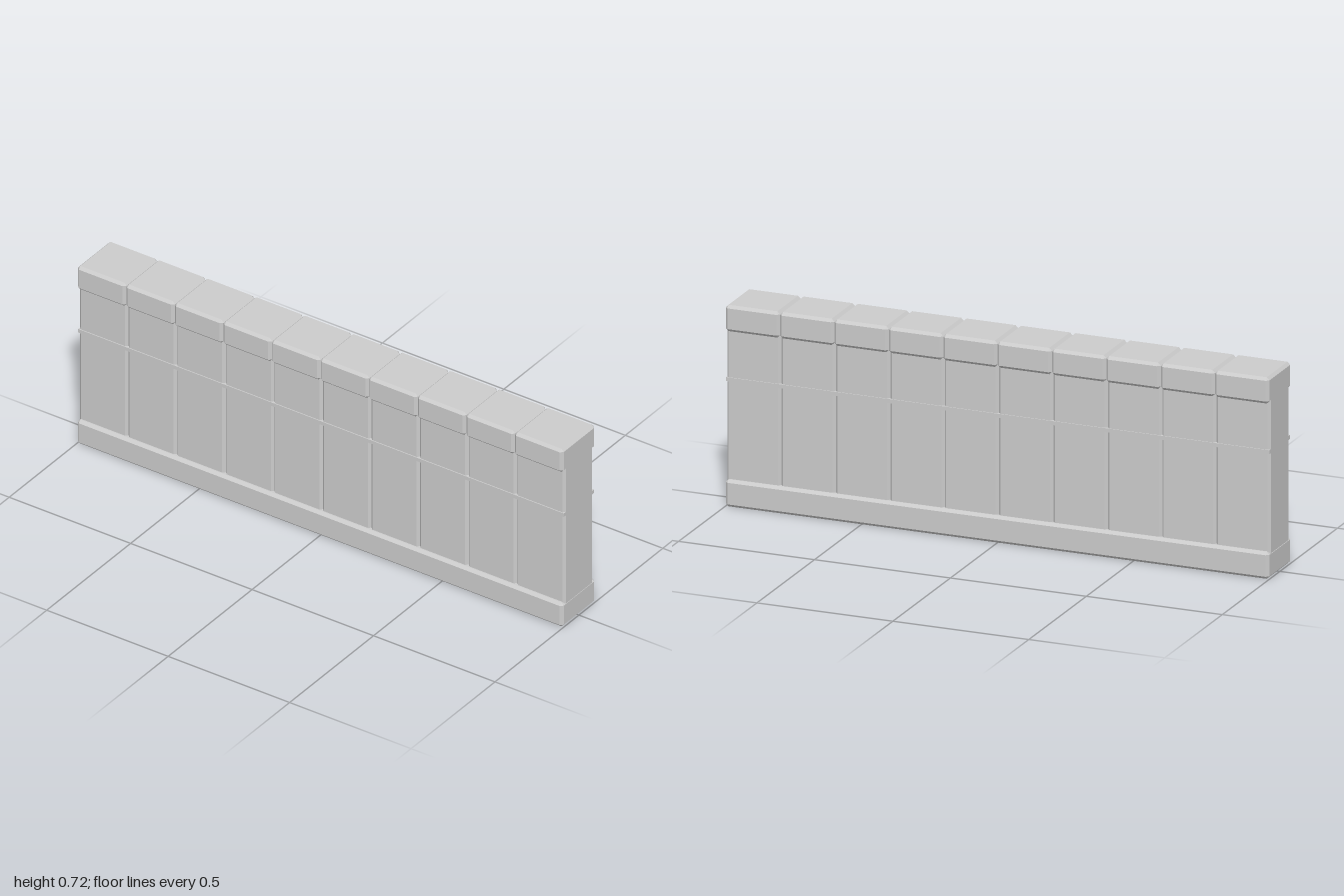
import * as THREE from 'three';
import { ConvexGeometry } from 'three/addons/geometries/ConvexGeometry.js';

const material = new THREE.MeshStandardMaterial({ color: 0xcccccc, flatShading: true });

// Box with every edge cut by a flat chamfer c
function chamferedBox(w, h, d, c) {
  const points = [];
  for (const sx of [-1, 1]) for (const sy of [-1, 1]) for (const sz of [-1, 1]) {
    const x = w / 2, y = h / 2, z = d / 2;
    points.push(
      new THREE.Vector3(sx * x, sy * (y - c), sz * (z - c)),
      new THREE.Vector3(sx * (x - c), sy * y, sz * (z - c)),
      new THREE.Vector3(sx * (x - c), sy * (y - c), sz * z),
    );
  }
  return new ConvexGeometry(points);
}

export function createModel() {
  const wall = new THREE.Group();
  wall.name = 'wall';
  const add = (name, geometry, x, y) => {
    const mesh = new THREE.Mesh(geometry, material);
    mesh.name = name;
    mesh.position.set(x, y, 0);
    wall.add(mesh);
  };

  // Long plinth
  add('base', chamferedBox(2, 0.097, 0.2, 0.01), 0, 0.0485);

  // Row of panels, each with its own coping block
  const count = 10, width = 2 / count;
  const panel = chamferedBox(width, 0.57, 0.172, 0.009);
  const cap = chamferedBox(width, 0.094, 0.2, 0.01);
  for (let i = 0; i < count; i++) {
    const x = -1 + (i + 0.5) * width;
    add('panel', panel, x, 0.365);
    add('capBlock', cap, x, 0.673);
  }

  // Thin band running round the panels
  add('band', new THREE.BoxGeometry(1.999, 0.014, 0.179), 0, 0.453);

  return wall;
}
